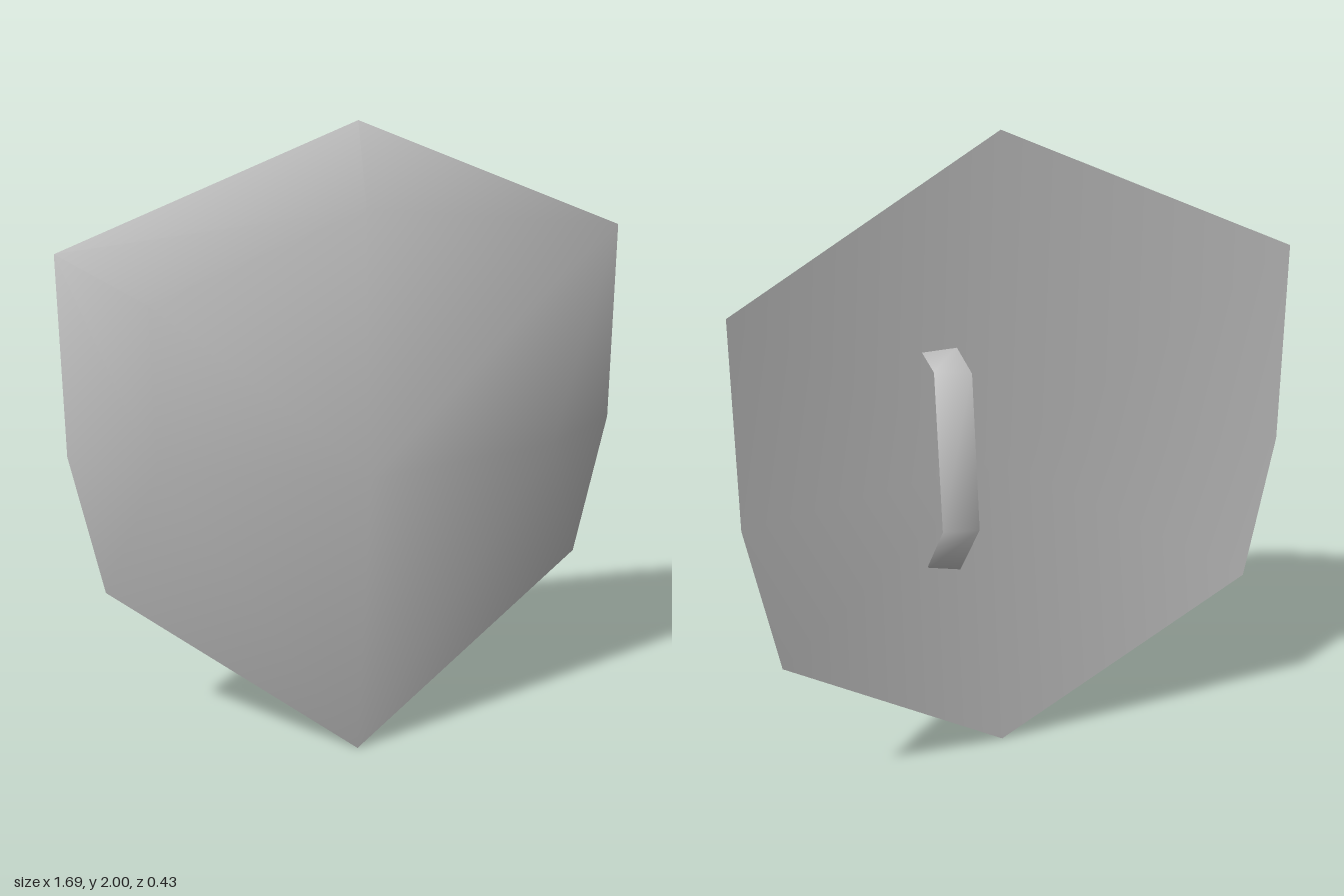
import * as THREE from 'three';
import { mergeVertices } from 'three/addons/utils/BufferGeometryUtils.js';

// Smooth surface from polygons (counter-clockwise), optionally mirrored across x = 0
function surface(points, faces, mirrored) {
  const pos = [];
  for (const face of faces) {
    for (let i = 1; i < face.length - 1; i++) {
      const tri = [points[face[0]], points[face[i]], points[face[i + 1]]];
      for (const p of tri) pos.push(...p);
      if (mirrored) for (const [x, y, z] of tri.reverse()) pos.push(x === 0 ? 0 : -x, y, z);
    }
  }
  const geometry = new THREE.BufferGeometry();
  geometry.setAttribute('position', new THREE.Float32BufferAttribute(pos, 3));
  const welded = mergeVertices(geometry);
  welded.computeVertexNormals();
  return welded;
}

export function createModel() {
  const group = new THREE.Group();
  const grey = new THREE.MeshStandardMaterial({ color: 0xc0c0c0, side: THREE.DoubleSide });
  grey.name = 'light grey';

  const add = (name, geometry) => {
    const mesh = new THREE.Mesh(geometry, grey);
    mesh.name = name;
    group.add(mesh);
  };

  // Outline corners shared by both shells (+x half)
  const tip = [0, 2, 0.04];
  const foot = [0, 0, 0.035];
  const upper = [0.845, 1.62, -0.14];
  const middle = [0.845, 1, -0.14];
  const lower = [0.755, 0.54, -0.145];

  // Domed front with a central ridge and sloping rim
  add('shieldFront', surface(
    [tip, [0, 1.78, 0.15], [0, 1, 0.215], foot, upper, middle, lower, [0.6, 1.5, 0.02], [0.6, 1, 0.055]],
    [[1, 7, 4, 0], [2, 8, 7, 1], [8, 5, 4, 7], [3, 6, 8, 2], [6, 5, 8]],
    true
  ));

  // Shallow V-shaped back
  add('shieldBack', surface(
    [[0, 1, 0.036], tip, upper, middle, lower, foot],
    [[0, 1, 2], [0, 2, 3], [0, 3, 4], [0, 4, 5]],
    true
  ));

  // Bent strap handle: pairs of inner and outer edge points from top to bottom
  const strap = [
    [0.15, 1.39, 0.01], [0.265, 1.4, -0.015],
    [0.17, 1.375, -0.165], [0.27, 1.38, -0.13],
    [0.17, 0.91, -0.215], [0.27, 0.905, -0.18],
    [0.15, 0.66, 0.01], [0.265, 0.7, -0.015],
  ];
  add('handle', surface(strap, [0, 2, 4].map(i => [i, i + 1, i + 3, i + 2]), false));

  return group;
}
